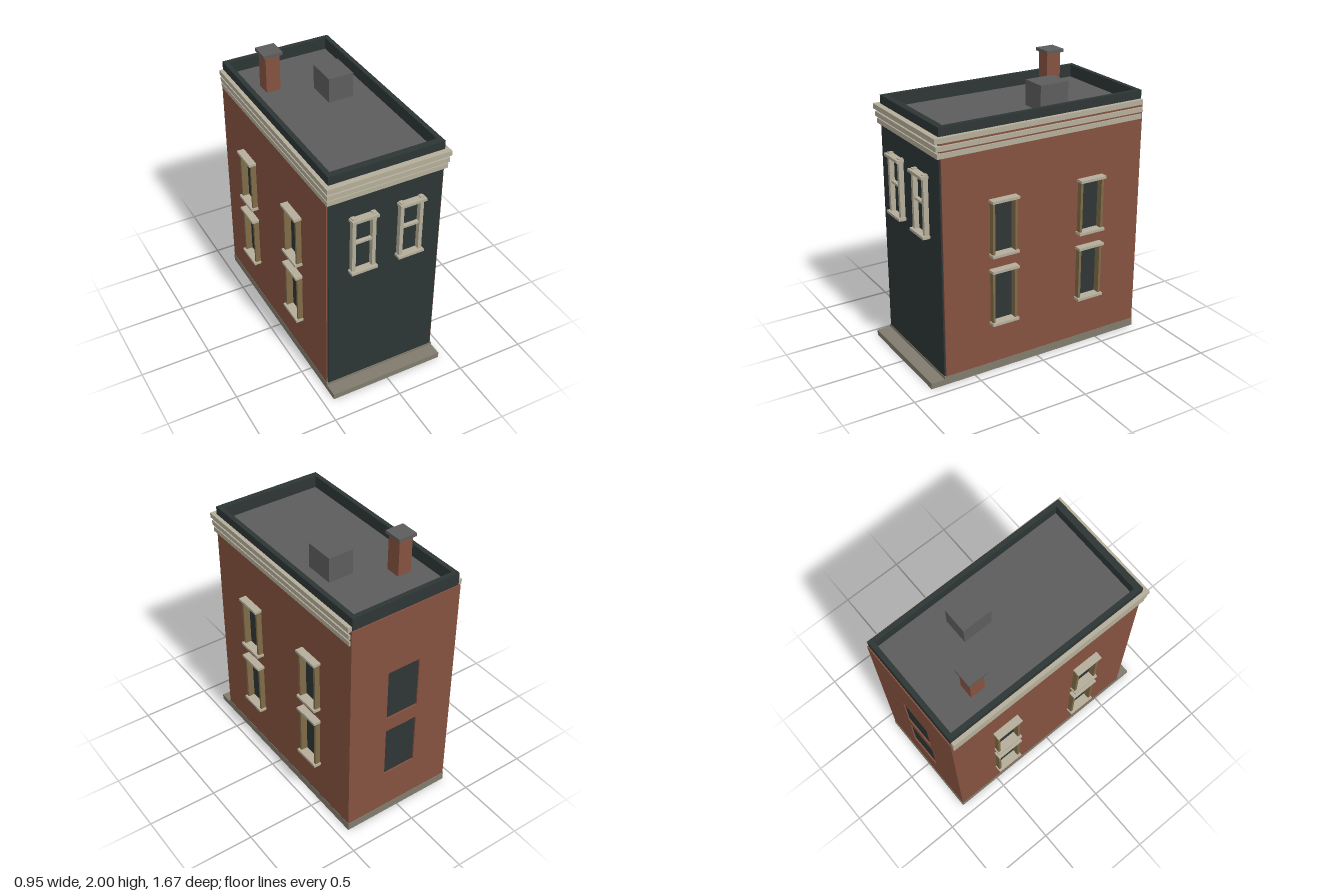
import * as THREE from 'three';

const mat = (name, color) => {
  const m = new THREE.MeshStandardMaterial({ color });
  m.name = name;
  return m;
};

export function createModel() {
  const brick = mat('brick', 0x85523f);
  const dark = mat('darkPaint', 0x2d3635);
  const stone = mat('paleStone', 0xb4ad9a);
  const plinthMat = mat('greyStone', 0x807b6d);
  const wood = mat('tanWood', 0x806b47);
  const roofMat = mat('roofGrey', 0x5c5c5c);

  const model = new THREE.Group();
  model.name = 'townhouse';

  // Box given by its limits on each axis
  const box = (parent, name, m, x0, x1, y0, y1, z0, z1) => {
    const mesh = new THREE.Mesh(new THREE.BoxGeometry(x1 - x0, y1 - y0, z1 - z0), m);
    mesh.position.set((x0 + x1) / 2, (y0 + y1) / 2, (z0 + z1) / 2);
    mesh.name = name;
    parent.add(mesh);
    return mesh;
  };
  const group = (name) => {
    const g = new THREE.Group();
    g.name = name;
    model.add(g);
    return g;
  };

  const storeys = [[0.37, 0.76], [0.87, 1.255]];
  const sideWindows = [0.283, -0.405];

  // Thin brick wall with a window opening at each centre on both storeys
  const brickPanel = (u0, u1, centres, half) => {
    const s = new THREE.Shape([[u0, 0.03], [u1, 0.03], [u1, 1.71], [u0, 1.71]].map(p => new THREE.Vector2(...p)));
    for (const c of centres) for (const [a, b] of storeys) {
      s.holes.push(new THREE.Path([[c - half, a], [c - half, b], [c + half, b], [c + half, a]].map(p => new THREE.Vector2(...p))));
    }
    return new THREE.ExtrudeGeometry(s, { depth: 0.01, bevelEnabled: false });
  };

  // Plinth and front step
  box(model, 'plinth', plinthMat, -0.422, 0.422, 0, 0.06, -0.833, 0.733);
  box(model, 'frontStep', plinthMat, -0.422, 0.422, 0, 0.042, 0.733, 0.833);

  // Dark core, which shows as the front and the window glass
  box(model, 'core', dark, -0.41, 0.41, 0.05, 1.705, -0.82, 0.73);
  box(model, 'roof', roofMat, -0.378, 0.378, 1.705, 1.712, -0.79, 0.685);

  // Parapet
  const parapet = group('parapet');
  for (const s of [-1, 1]) {
    const e = [s * 0.41, s * 0.376].sort((a, b) => a - b);
    box(parapet, 'parapetSide', dark, e[0], e[1], 1.705, 1.8, -0.822, 0.73);
  }
  box(parapet, 'parapetFront', dark, -0.376, 0.376, 1.705, 1.8, 0.683, 0.73);
  box(parapet, 'parapetBack', dark, -0.376, 0.376, 1.705, 1.8, -0.822, -0.788);

  // Brick walls
  const back = new THREE.Mesh(brickPanel(-0.42, 0.42, [0], 0.125), brick);
  back.position.z = -0.83;
  back.name = 'backWall';
  model.add(back);
  for (const s of [-1, 1]) {
    const wall = new THREE.Mesh(brickPanel(-0.72, 0.82, sideWindows.map(z => -z), 0.093), brick);
    wall.rotation.y = Math.PI / 2;
    wall.position.x = s > 0 ? 0.41 : -0.42;
    wall.name = 'sideWall';
    model.add(wall);
  }

  // Side windows: projecting wooden jambs between stone sills and lintels
  for (const s of [-1, 1]) for (const z of sideWindows) for (const [a, b] of storeys) {
    const g = group('sideWindow');
    const part = (name, m, out, y0, y1, z0, z1) => {
      const [x0, x1] = [s * 0.41, s * out].sort((p, q) => p - q);
      box(g, name, m, x0, x1, y0, y1, z0, z1);
    };
    part('sill', stone, 0.474, a - 0.008, a + 0.011, z - 0.102, z + 0.102);
    part('lintel', stone, 0.474, b - 0.011, b + 0.008, z - 0.102, z + 0.102);
    part('jamb', wood, 0.458, a + 0.011, b - 0.011, z - 0.094, z - 0.076);
    part('jamb', wood, 0.458, a + 0.011, b - 0.011, z + 0.076, z + 0.094);
  }

  // Front windows
  for (const x of [-0.173, 0.172]) {
    const g = group('frontWindow');
    for (const s of [-1, 1]) {
      const c = x + s * 0.072;
      box(g, 'jamb', stone, c - 0.013, c + 0.013, 1.006, 1.45, 0.73, 0.765);
    }
    box(g, 'sill', stone, x - 0.095, x + 0.095, 1.013, 1.032, 0.73, 0.784);
    box(g, 'lintel', stone, x - 0.095, x + 0.095, 1.423, 1.443, 0.73, 0.784);
    box(g, 'middleBar', stone, x - 0.06, x + 0.06, 1.238, 1.254, 0.73, 0.757);
  }

  // Three cornice bands around the front and sides
  for (const [y0, y1, w, z] of [[1.603, 1.637, 0.429, 0.75], [1.652, 1.685, 0.433, 0.76], [1.705, 1.74, 0.438, 0.771]]) {
    const g = group('corniceBand');
    box(g, 'corniceFront', stone, -w, w, y0, y1, 0.72, z);
    box(g, 'corniceLeft', stone, 0.4, w, y0, y1, -0.818, 0.72);
    box(g, 'corniceRight', stone, -w, -0.4, y0, y1, -0.818, 0.72);
  }

  // Chimney and roof vent
  box(model, 'chimney', brick, -0.258, -0.155, 1.7, 1.978, -0.54, -0.432);
  box(model, 'chimneyCap', roofMat, -0.276, -0.138, 1.978, 2.0, -0.557, -0.418);
  box(model, 'roofVent', roofMat, 0.052, 0.235, 1.7, 1.89, -0.342, -0.124);

  return model;
}
